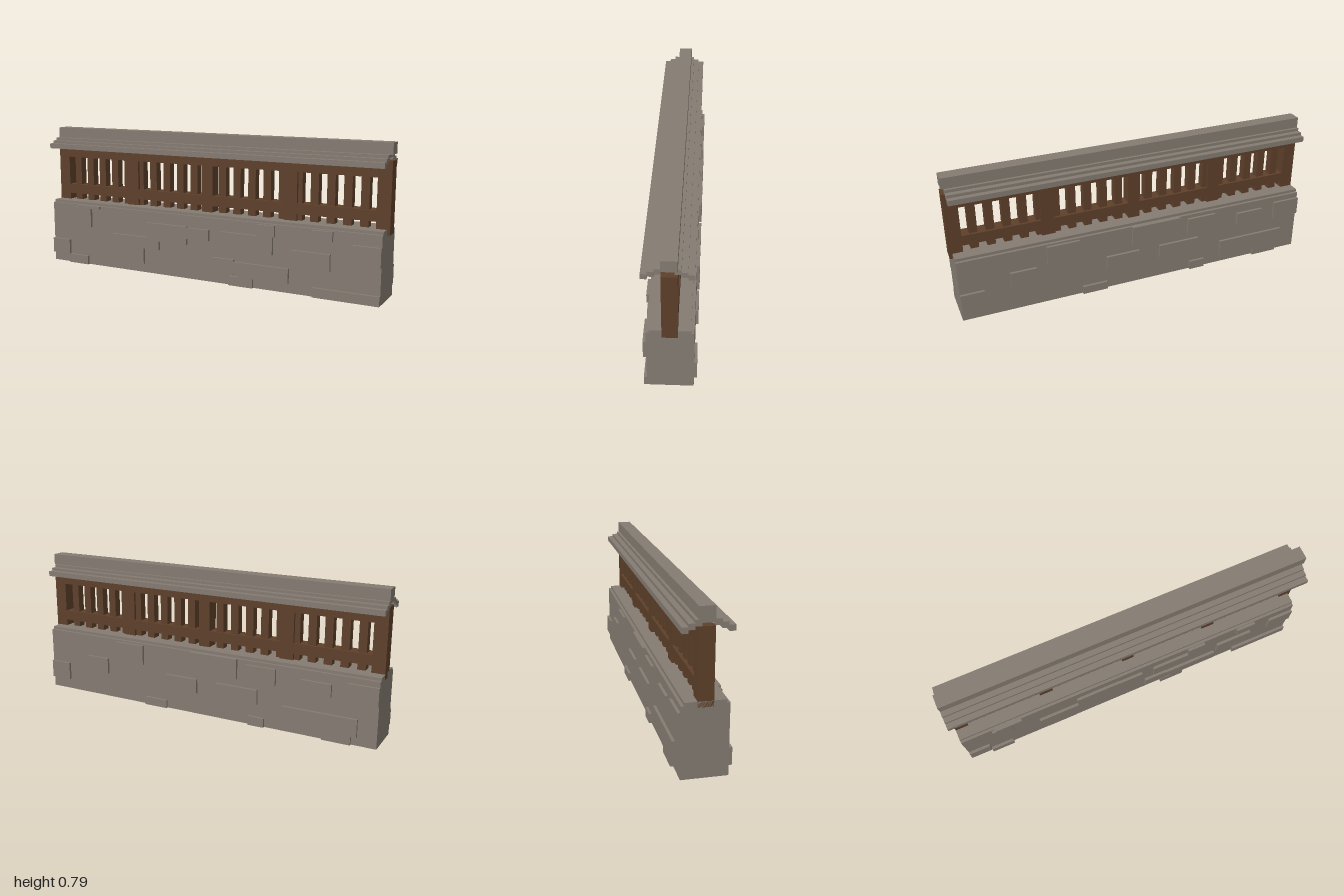
import * as THREE from 'three';

const stone = new THREE.MeshStandardMaterial({ color: 0x857c72 });
stone.name = 'grey stone';
const wood = new THREE.MeshStandardMaterial({ color: 0x5e402a });
wood.name = 'brown wood';

const X0 = -1, X1 = 0.985;

// box given by its limits on each axis
function block(name, material, x0, x1, y0, y1, z0, z1) {
  const mesh = new THREE.Mesh(new THREE.BoxGeometry(x1 - x0, y1 - y0, z1 - z0), material);
  mesh.position.set((x0 + x1) / 2, (y0 + y1) / 2, (z0 + z1) / 2);
  mesh.name = name;
  return mesh;
}

// cross-section of [z, y] points swept along the wall
function sweep(name, material, points, x0, x1) {
  const shape = new THREE.Shape(points.map(([z, y]) => new THREE.Vector2(-z, y)));
  const geo = new THREE.ExtrudeGeometry(shape, { depth: x1 - x0, bevelEnabled: false });
  geo.rotateY(Math.PI / 2).translate(x0, 0, 0);
  const mesh = new THREE.Mesh(geo, material);
  mesh.name = name;
  return mesh;
}

export function createModel() {
  const model = new THREE.Group();
  model.name = 'wallWithFence';

  // stone base with a raised top course
  model.add(sweep('stoneBase', stone, [
    [0.11, 0], [0.11, 0.35], [0.095, 0.35], [0.095, 0.365],
    [-0.095, 0.365], [-0.095, 0.35], [-0.11, 0.35], [-0.11, 0],
  ], X0, X1));

  // raised stones: x0, x1, y0, y1
  const frontStones = [
    [-0.83, -0.72, 0.225, 0.34], [-0.81, -0.66, 0.335, 0.35], [-0.57, -0.26, 0.14, 0.205],
    [-0.53, -0.36, 0.05, 0.14], [-0.34, -0.085, 0.19, 0.29], [-0.085, 0.05, 0.225, 0.285],
    [0.07, 0.2, 0.06, 0.14], [0.2, 0.31, 0.065, 0.13], [0.12, 0.42, 0.19, 0.285],
    [0.33, 0.43, 0.285, 0.345], [0.52, 0.73, 0.14, 0.23], [0.63, 0.74, 0.295, 0.345],
    [0.84, X1, 0.19, 0.29], [0.23, 0.51, 0.05, 0.13], [0.17, 0.31, 0, 0.05],
    [0.64, X1, 0, 0.05], [-0.88, -0.75, 0, 0.05], [X0, -0.88, 0.05, 0.135],
  ];
  const backStones = [
    [0.58, 0.72, 0.14, 0.23], [0.86, X1, 0.06, 0.16], [0.19, 0.33, 0, 0.045],
    [0.34, 0.52, 0.23, 0.34], [0, 0.19, 0.12, 0.2], [-0.24, 0.04, 0.24, 0.35],
    [-0.36, -0.12, 0.12, 0.2], [-0.46, -0.29, 0.24, 0.33], [-0.4, -0.31, 0, 0.05],
    [-0.9, -0.5, 0.045, 0.14], [-0.76, -0.6, 0.23, 0.3], [X0, -0.84, 0.22, 0.32],
    [-0.87, -0.72, 0, 0.045],
  ];
  const stones = new THREE.Group();
  stones.name = 'raisedStones';
  for (const [a, b, c, d] of frontStones) stones.add(block('frontStone', stone, a, b, c, d, 0.1, 0.125));
  for (const [a, b, c, d] of backStones) stones.add(block('backStone', stone, a, b, c, d, -0.124, -0.1));
  model.add(stones);

  // wooden fence: posts, two rails and slats
  const fence = new THREE.Group();
  fence.name = 'fence';
  const posts = [[-1, -0.93], [-0.52, -0.445], [-0.035, 0.03], [0.445, 0.517], [0.93, 1]];
  for (const [a, b] of posts) fence.add(block('post', wood, a, b, 0.337, 0.7, -0.036, 0.037));
  posts.slice(1).forEach(([end], i) => {
    const start = posts[i][1];
    fence.add(block('lowerRail', wood, start, end, 0.4, 0.455, -0.036, 0.037));
    fence.add(block('upperRail', wood, start, end, 0.617, 0.675, -0.036, 0.037));
  });
  for (let i = 0; i < 21; i++) {
    const x = -0.898 + i * 0.0872;
    fence.add(block('slat', wood, x, x + 0.043, 0.35, 0.7, -0.022, 0.022));
  }
  model.add(fence);

  // stepped stone roof and ridge
  model.add(sweep('steppedRoof', stone, [
    [0.125, 0.672], [0.125, 0.7], [0.095, 0.7], [0.095, 0.715], [0.066, 0.715], [0.066, 0.73],
    [-0.051, 0.73], [-0.051, 0.715], [-0.08, 0.715], [-0.08, 0.7], [-0.109, 0.7], [-0.109, 0.672],
    [-0.08, 0.672], [-0.08, 0.687], [-0.051, 0.687], [-0.051, 0.701], [-0.021, 0.701], [-0.021, 0.715],
    [0.037, 0.715], [0.037, 0.701], [0.066, 0.701], [0.066, 0.687], [0.096, 0.687], [0.096, 0.672],
  ], X0, X1));
  model.add(block('ridge', stone, -1, 1, 0.73, 0.788, -0.036, 0.037));

  return model;
}
